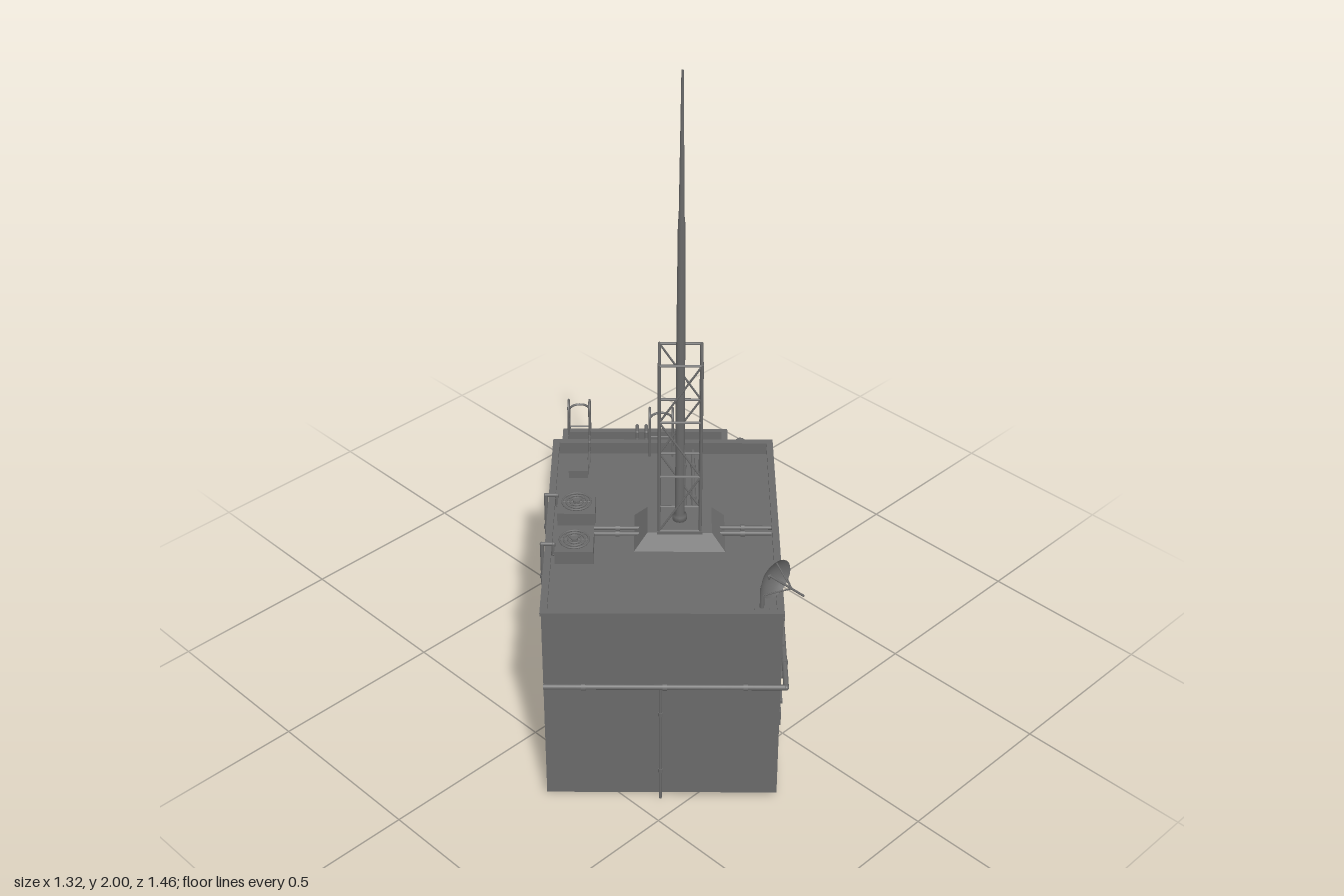
import * as THREE from 'three';

const mat = new THREE.MeshStandardMaterial({ color: 0x6a6a6a });
const thin = new THREE.MeshStandardMaterial({ color: 0x6a6a6a, side: THREE.DoubleSide });
const V = (x, y, z) => new THREE.Vector3(x, y, z);

function group(parent, name) {
  const g = new THREE.Group();
  g.name = name;
  parent.add(g);
  return g;
}
function add(parent, name, geo, x = 0, y = 0, z = 0, m = mat) {
  const mesh = new THREE.Mesh(geo, m);
  mesh.name = name;
  mesh.position.set(x, y, z);
  parent.add(mesh);
  return mesh;
}
const box = (p, name, w, h, d, x, y, z) => add(p, name, new THREE.BoxGeometry(w, h, d), x, y, z);

// Round bar between two points
function bar(p, name, a, b, r, sides = 8) {
  const dir = b.clone().sub(a);
  const m = add(p, name, new THREE.CylinderGeometry(r, r, dir.length(), sides));
  m.position.copy(a).lerp(b, 0.5);
  m.quaternion.setFromUnitVectors(V(0, 1, 0), dir.normalize());
  return m;
}
// Pipe run with round elbows and collars on each long stretch
function pipe(p, name, pts, r = 0.0055, collar = 1.5) {
  const g = group(p, name);
  pts = pts.map((q) => V(...q));
  pts.forEach((b, i) => {
    if (i < pts.length - 1 && i > 0) add(g, 'elbow', new THREE.SphereGeometry(r * 1.1, 10, 8), b.x, b.y, b.z);
    if (i === 0) return;
    const a = pts[i - 1];
    bar(g, 'pipe', a, b, r, 10);
    const len = a.distanceTo(b);
    const n = len > 0.1 ? Math.ceil(len / 0.25) : 0;
    for (let k = 0; k < n; k++) {
      const t = (k + 0.5) / n, d = 0.006 / len;
      bar(g, 'collar', a.clone().lerp(b, t - d), a.clone().lerp(b, t + d), r * collar, 10);
    }
  });
}
// Rectangle shape with a rectangular hole, extruded
function ring(w, h, t, depth) {
  const rect = (c, a, b) => c.moveTo(-a, -b).lineTo(a, -b).lineTo(a, b).lineTo(-a, b).closePath();
  const s = rect(new THREE.Shape(), w / 2, h / 2);
  s.holes.push(rect(new THREE.Path(), w / 2 - t, h / 2 - t));
  return new THREE.ExtrudeGeometry(s, { depth, bevelEnabled: false });
}
// Thin upright wall from a to b, given as [x, z]
function wall(p, a, b, y0, y1) {
  const dx = b[0] - a[0], dz = b[1] - a[1];
  const geo = new THREE.PlaneGeometry(Math.hypot(dx, dz), y1 - y0);
  add(p, 'wall', geo, (a[0] + b[0]) / 2, (y0 + y1) / 2, (a[1] + b[1]) / 2, thin).rotation.y = Math.atan2(-dz, dx);
}
// Sunken roof with parapet and coping
function roofTop(p, name, x0, x1, z0, z1, roof, top) {
  const g = group(p, name);
  const w = x1 - x0, d = z1 - z0, x = (x0 + x1) / 2, z = (z0 + z1) / 2;
  add(g, 'roof', new THREE.PlaneGeometry(w, d).rotateX(-Math.PI / 2), x, roof, z, thin);
  add(g, 'parapet', ring(w, d, 0.012, top - roof).rotateX(-Math.PI / 2), x, roof, z);
  add(g, 'coping', ring(w + 0.007, d + 0.007, 0.019, 0.01).rotateX(-Math.PI / 2), x, top - 0.01, z);
}
function windowUnit(p, x, y, z, w, h) {
  const g = group(p, 'window');
  g.position.set(x, y, z);
  add(g, 'frame', ring(w, h, 0.008, 0.008));
  box(g, 'pane', w - 0.01, h - 0.01, 0.003, 0, 0, 0.0025);
  return g;
}
function fanUnit(p, x, y, z, size, h) {
  const g = group(p, 'fanUnit');
  g.position.set(x, y, z);
  box(g, 'housing', size, h, size, 0, h / 2, 0);
  const r = size * 0.38;
  for (const k of [1, 0.72, 0.44]) add(g, 'grilleRing', new THREE.TorusGeometry(r * k, 0.003, 6, 24).rotateX(Math.PI / 2), 0, h + 0.004, 0);
  add(g, 'hub', new THREE.CylinderGeometry(r * 0.25, r * 0.25, 0.012, 12), 0, h + 0.004, 0);
  for (let i = 0; i < 8; i++) {
    const a = (i * Math.PI) / 4;
    bar(g, 'spoke', V(0, h + 0.004, 0), V(r * Math.cos(a), h + 0.004, r * Math.sin(a)), 0.002, 6);
  }
}
// Wall ladder with arched handrails over the parapet and a safety hoop
function ladder(p, x, z, y0, top) {
  const g = group(p, 'ladder');
  g.position.set(x, 0, z);
  const hw = 0.033, r = 0.0035, rise = 0.085, inner = -0.032;
  for (const s of [-hw, hw]) {
    bar(g, 'rail', V(0.02, y0, s), V(0.02, top + rise, s), r);
    bar(g, 'innerRail', V(inner, top - 0.035, s), V(inner, top + rise, s), r);
    add(g, 'handrailArch', new THREE.TorusGeometry(0.026, r, 8, 14, Math.PI), -0.006, top + rise, s);
    bar(g, 'hoopArm', V(inner, top + 0.06, s), V(0.02, top + 0.06, s), r);
    for (const y of [y0 + 0.03, top - 0.03]) bar(g, 'bracket', V(0, y, s), V(0.02, y, s), r);
  }
  for (let y = y0 + 0.015; y < top + 0.02; y += 0.028) bar(g, 'rung', V(0.02, y, -hw), V(0.02, y, hw), 0.0028, 6);
  const hoop = add(g, 'hoop', new THREE.TorusGeometry(hw, r, 8, 16, Math.PI), 0.02, top + 0.06, 0);
  hoop.rotation.set(Math.PI / 2, 0, -Math.PI / 2);
}

export function createModel() {
  const model = new THREE.Group();
  model.name = 'station';
  const b = group(model, 'building');
  b.rotation.y = Math.PI / 4;

  // Open-bottomed shell: walls follow the stepped outline
  const X0 = -0.612, X1 = 0.187, X2 = 0.711, Z0 = -0.307, ZT = 0.325, ZL = 0.21;
  const RT = 0.605, RL = 0.295, Y0 = 0.015;
  const shell = group(b, 'walls');
  wall(shell, [X0, Z0], [X0, ZT], Y0, RT);
  wall(shell, [X0, ZT], [X1, ZT], Y0, RT);
  wall(shell, [X1, ZT], [X1, ZL], Y0, RT);
  wall(shell, [X1, ZL], [X1, Z0], RL, RT);
  wall(shell, [X1, Z0], [X0, Z0], Y0, RT);
  wall(shell, [X1, ZL], [X2, ZL], Y0, RL);
  wall(shell, [X2, ZL], [X2, Z0], Y0, RL);
  wall(shell, [X2, Z0], [X1, Z0], Y0, RL);
  roofTop(b, 'tallRoof', X0, X1, Z0, ZT, RT, 0.645);
  roofTop(b, 'lowRoof', X1, X2, Z0, ZL, RL, 0.33);

  // Windows and door
  for (const x of [-0.47, -0.3, -0.127, 0.043]) for (const y of [0.293, 0.493]) {
    const w = windowUnit(b, x, y, ZT, 0.062, 0.09);
    box(w, 'mullion', 0.005, 0.08, 0.005, 0, 0, 0.005);
    box(w, 'transom', 0.052, 0.005, 0.005, 0, 0.018, 0.005);
    box(w, 'sill', 0.07, 0.008, 0.014, 0, -0.045, 0.007);
    box(w, 'lintel', 0.074, 0.008, 0.012, 0, 0.045, 0.006);
  }
  for (const x of [0.267, 0.38, 0.495, 0.613]) windowUnit(b, x, 0.117, ZL, 0.058, 0.068);
  const door = group(b, 'door');
  door.position.set(0.047, 0, ZT);
  add(door, 'doorFrame', ring(0.062, 0.115, 0.007, 0.008), 0, 0.0725, 0);
  box(door, 'doorLeaf', 0.05, 0.105, 0.004, 0, 0.07, 0.003);
  box(door, 'doorHandle', 0.004, 0.016, 0.008, 0.017, 0.07, 0.007);
  box(door, 'canopy', 0.08, 0.006, 0.034, 0, 0.147, 0.016).rotation.x = 0.4;
  for (const s of [-0.032, 0.032]) bar(door, 'canopyBrace', V(s, 0.118, 0), V(s, 0.139, 0.026), 0.0025, 6);

  // Pipe round the facade, with downpipes
  pipe(b, 'wallPipe', [[X0 - 0.012, 0.403, Z0], [X0 - 0.012, 0.403, ZT + 0.014], [X1 + 0.014, 0.403, ZT + 0.014], [X1 + 0.014, 0.403, 0.265], [X1 + 0.014, 0.34, 0.265]], 0.0075, 1.3);
  pipe(b, 'sideDownpipe', [[X0 - 0.006, 0.403, 0.005], [X0 - 0.006, 0, 0.005]], 0.004);
  pipe(b, 'facadeDownpipe', [[-0.21, 0.403, ZT + 0.007], [-0.21, 0, ZT + 0.007]], 0.0045);
  box(b, 'meterBox', 0.05, 0.05, 0.018, -0.385, 0.105, ZT + 0.009);
  pipe(b, 'meterConduit', [[-0.385, 0.08, ZT + 0.006], [-0.385, 0.005, ZT + 0.006]], 0.0035);

  // Corner plant box with its duct and pipe
  box(b, 'plantBox', 0.072, 0.13, 0.068, X1 + 0.036, 0.285, 0.245);
  box(b, 'plantBoxDoor', 0.052, 0.1, 0.006, X1 + 0.036, 0.285, 0.281);
  add(b, 'plantVent', new THREE.CylinderGeometry(0.024, 0.024, 0.01, 16).rotateZ(Math.PI / 2), 0.262, 0.285, 0.245);
  pipe(b, 'cornerDuct', [[X1, 0.627, 0.235], [0.204, 0.622, 0.235], [0.208, 0.607, 0.235], [0.208, 0.345, 0.235]], 0.016, 1.1);
  pipe(b, 'plantPipe', [[0.26, 0.25, 0.224], [0.407, 0.25, 0.224], [0.407, 0.338, 0.224], [0.407, 0.338, 0.18], [0.407, 0.312, 0.18], [0.407, 0.312, 0.03]], 0.0085);

  // Box on the end wall and its roof conduit
  box(b, 'wallBox', 0.02, 0.085, 0.07, X1 + 0.01, 0.507, -0.21);
  box(b, 'wallBoxDoor', 0.005, 0.065, 0.052, X1 + 0.022, 0.507, -0.21);
  box(b, 'roofBox', 0.055, 0.025, 0.055, 0.078, RT + 0.0125, -0.233);
  pipe(b, 'roofConduit', [[0.09, RT + 0.01, -0.205], [0.17, RT + 0.01, -0.205], [0.17, 0.648, -0.205], [0.199, 0.648, -0.205], [0.199, 0.54, -0.205]], 0.004);

  // Cooling units on the low roof
  const plinth = group(b, 'coolingPlinth');
  plinth.position.set(0.46, RL, -0.057);
  box(plinth, 'slab', 0.185, 0.014, 0.2, 0, 0.007, 0);
  for (const x of [-0.039, 0.039]) for (const z of [-0.053, 0.053]) fanUnit(plinth, x, 0.014, z, 0.068, 0.02);
  for (const z of [-0.045, -0.074]) pipe(b, 'endPipe', [[0.53, 0.312, z], [0.685, 0.312, z], [0.685, 0.336, z], [X2 + 0.01, 0.336, z], [X2 + 0.01, 0, z]]);
  for (const x of [0.407, 0.488]) pipe(b, 'backPipe', [[x, 0.312, -0.14], [x, 0.312, -0.28], [x, 0.336, -0.28], [x, 0.336, Z0 - 0.011], [x, 0, Z0 - 0.011]]);

  // Fan units on the tall roof
  for (const [x, px] of [[-0.125, -0.1], [-0.3, -0.327]]) {
    fanUnit(b, x, RT, -0.231, 0.105, 0.04);
    pipe(b, 'tallBackPipe', [[px, 0.62, -0.24], [px, 0.62, -0.287], [px, 0.653, -0.287], [px, 0.653, Z0 - 0.011], [px, 0, Z0 - 0.011]]);
  }

  // Roof pipes from the mast base
  for (const s of [-0.013, 0.013]) {
    pipe(b, 'roofPipe', [[-0.14, 0.617, 0.083 + s], [0.172, 0.617, 0.083 + s]]);
    pipe(b, 'roofPipe', [[-0.215 + s, 0.617, 0.15], [-0.215 + s, 0.617, 0.31]]);
    pipe(b, 'roofPipe', [[-0.218 + s, 0.617, -0.05], [-0.218 + s, 0.617, -0.18]]);
  }

  // Mast base, lattice tower and mast
  const tower = group(b, 'tower');
  tower.position.set(-0.212, 0, 0.056);
  const base = new THREE.CylinderGeometry(0.5, 0.7071, 1, 4).rotateY(Math.PI / 4).toNonIndexed();
  base.computeVertexNormals();
  add(tower, 'mastBase', base, 0, 0.628, 0).scale.set(0.17, 0.046, 0.25);
  box(tower, 'basePlate', 0.125, 0.008, 0.125, 0, 0.651, 0);
  const corner = (i, y) => V(0.056 * [1, 1, -1, -1][i % 4], y, 0.056 * [1, -1, -1, 1][i % 4]);
  const levels = [0.655, 0.835, 1.01, 1.187];
  for (let i = 0; i < 4; i++) {
    bar(tower, 'towerLeg', corner(i, 0.65), corner(i, 1.19), 0.0042);
    levels.forEach((y, k) => {
      bar(tower, 'towerRail', corner(i, y), corner(i + 1, y), 0.004, 6);
      if (k < 3) bar(tower, 'towerBrace', corner(i + ((k + i) % 2), y), corner(i + 1 - ((k + i) % 2), levels[k + 1]), 0.003, 6);
    });
  }
  const profile = [[0, 0.65], [0.02, 0.65], [0.02, 0.67], [0.013, 0.675], [0.012, 1.2], [0.0095, 1.58], [0.0075, 1.6], [0.003, 2], [0, 2]];
  add(tower, 'mast', new THREE.LatheGeometry(profile.map((q) => new THREE.Vector2(...q)), 12));

  // Ladders
  ladder(b, X1, 0.004, 0.32, 0.645);
  ladder(b, X2, -0.258, 0.06, 0.33);

  // Dish aerial at the front corner
  const dish = group(model, 'dish');
  dish.position.set(-0.199, 0.735, 0.628);
  const bowl = [];
  for (let i = 0; i <= 6; i++) bowl.push(new THREE.Vector2(0.056 * i / 6, 0.024 * (i / 6) ** 2 - 0.024));
  add(dish, 'bowl', new THREE.LatheGeometry(bowl, 24).rotateX(Math.PI / 2), 0, 0, 0, thin);
  for (let i = 0; i < 3; i++) {
    const a = Math.PI / 2 + (i * Math.PI * 2) / 3;
    bar(dish, 'feedStrut', V(0.054 * Math.cos(a), 0.054 * Math.sin(a), 0), V(0, 0, 0.055), 0.002, 6);
  }
  bar(dish, 'feed', V(0, 0, -0.02), V(0, 0, 0.098), 0.003);
  bar(dish, 'arm', V(0, 0, -0.022), V(0, -0.05, -0.045), 0.006);
  bar(dish, 'post', V(0, -0.05, -0.045), V(0, -0.13, -0.045), 0.006);
  bar(dish, 'foot', V(0, -0.13, -0.045), V(0, -0.118, -0.045), 0.02, 16);
  return model;
}
